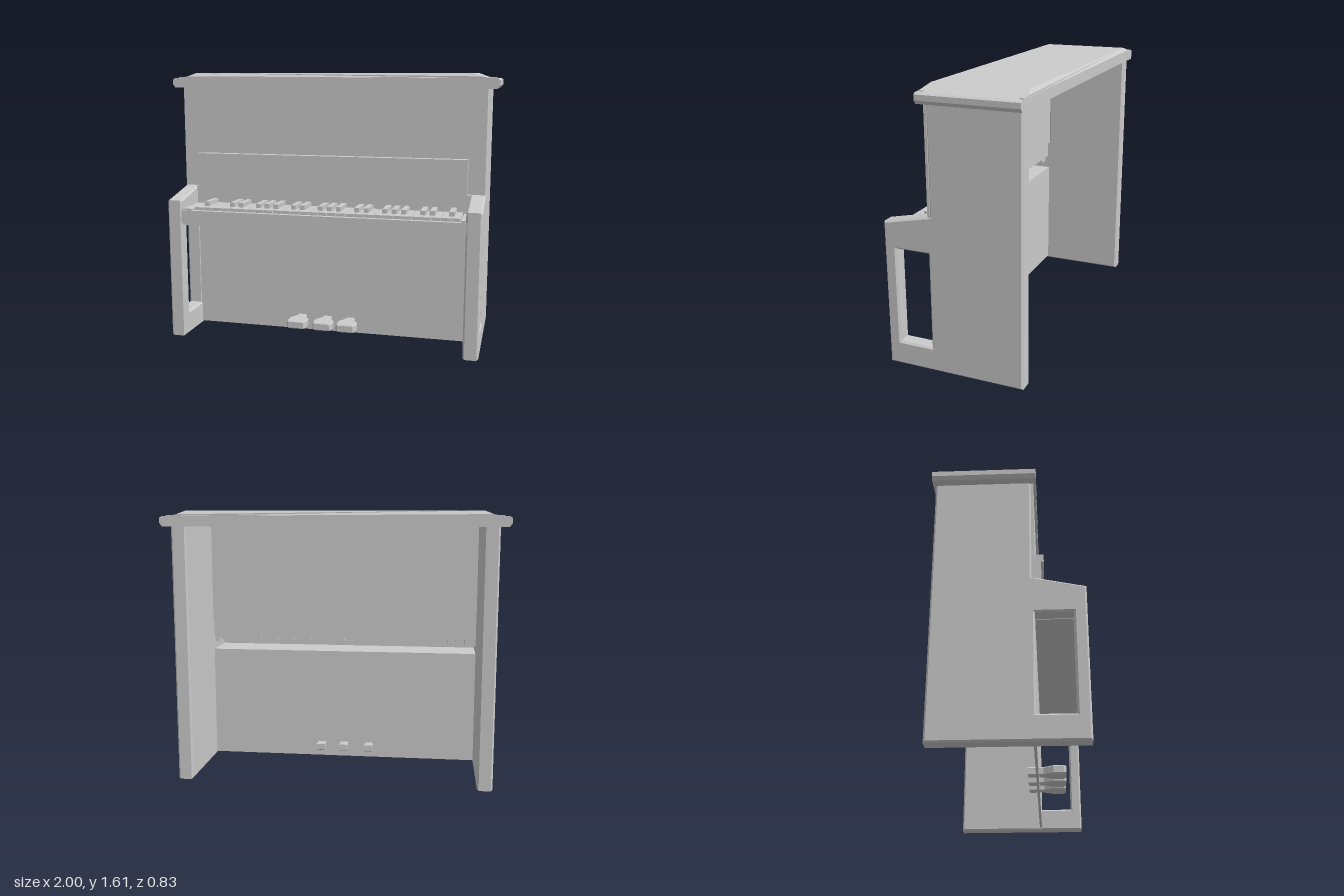
import * as THREE from 'three';

const material = new THREE.MeshStandardMaterial({ color: 0xcccccc, flatShading: true, side: THREE.DoubleSide });

function add(parent, name, geometry) {
  const mesh = new THREE.Mesh(geometry, material);
  mesh.name = name;
  parent.add(mesh);
  return mesh;
}

// Box given by its low and high limits on each axis
function box(parent, name, [x0, x1], [y0, y1], [z0, z1]) {
  const mesh = add(parent, name, new THREE.BoxGeometry(x1 - x0, y1 - y0, z1 - z0));
  mesh.position.set((x0 + x1) / 2, (y0 + y1) / 2, (z0 + z1) / 2);
  return mesh;
}

const outline = (points) => points.map(([x, y]) => new THREE.Vector2(x, y));

// Side wall with sloping arm, front leg and foot around an opening
function sideGeometry() {
  const shape = new THREE.Shape(outline([
    [-0.4, 0], [0.415, 0], [0.415, 0.85], [0.13, 0.912], [0.13, 1.53], [-0.4, 1.53],
  ]));
  shape.holes.push(new THREE.Path(outline([[0.145, 0.14], [0.145, 0.7], [0.345, 0.7], [0.345, 0.14]])));
  const geometry = new THREE.ExtrudeGeometry(shape, {
    depth: 0.07, bevelSize: 0.01, bevelThickness: 0.01, bevelOffset: -0.01, bevelSegments: 1,
  });
  return geometry.rotateY(-Math.PI / 2);
}

// Hollow lid: raised middle, lower rounded ends, chamfered long edges
function lidGeometry() {
  const half = [[0.85, 1.61], [0.9, 1.59], [0.945, 1.58], [0.985, 1.58], [1, 1.57],
    [1, 1.54], [0.985, 1.52], [0.93, 1.52], [0.85, 1.578]];
  const mirrored = half.map(([x, y]) => [-x, y]).reverse();
  const geometry = new THREE.ExtrudeGeometry(new THREE.Shape(outline([...half, ...mirrored])), {
    depth: 0.575, bevelEnabled: false,
  });
  geometry.translate(0, 0, -0.415);
  const p = geometry.attributes.position;
  for (let i = 0; i < p.count; i++) {
    if (p.getY(i) > 1.6) p.setZ(i, p.getZ(i) > 0 ? 0.142 : -0.398);
  }
  geometry.computeVertexNormals();
  return geometry;
}

// Pedal: narrow stem flaring to a broad rounded tip
function pedalGeometry() {
  const shape = new THREE.Shape(outline([
    [-0.028, 0.08], [0.028, 0.08], [0.028, 0.17], [0.06, 0.225], [0.06, 0.285],
    [0.048, 0.3], [-0.048, 0.3], [-0.06, 0.285], [-0.06, 0.225], [-0.028, 0.17],
  ]));
  const geometry = new THREE.ExtrudeGeometry(shape, {
    depth: 0.036, bevelSize: 0.006, bevelThickness: 0.006, bevelOffset: -0.006, bevelSegments: 1,
  });
  return geometry.rotateX(Math.PI / 2);
}

function buildKeyboard() {
  const keyboard = new THREE.Group();
  keyboard.name = 'keyboard';
  const start = -0.78, pitch = 0.0551, count = 29;
  for (let i = 0; i < count; i++) {
    const x = start + i * pitch;
    box(keyboard, 'whiteKey', [x + 0.002, x + pitch - 0.002], [0.775, 0.808], [0.17, 0.38]);
    if (i > 0 && i !== 2 && [0, 1, 2, 4, 5].includes(i % 7)) {
      box(keyboard, 'blackKey', [x - 0.015, x + 0.015], [0.8, 0.834], [0.17, 0.32]);
    }
  }
  return keyboard;
}

export function createModel() {
  const piano = new THREE.Group();
  piano.name = 'uprightPiano';

  // Side walls
  const side = sideGeometry();
  add(piano, 'leftSide', side).position.x = 0.93;
  add(piano, 'rightSide', side).position.x = -0.86;

  // Front panels; the back and bottom stay open
  box(piano, 'upperPanel', [-0.935, 0.935], [0.9, 1.54], [0.13, 0.145]);
  box(piano, 'lowerPanel', [-0.855, 0.855], [0.015, 0.705], [0.13, 0.145]);

  // Lid with its long edge rails
  add(piano, 'lid', lidGeometry());
  box(piano, 'lidFrontRail', [-0.96, 0.96], [1.52, 1.585], [0.13, 0.159]);
  box(piano, 'lidBackRail', [-0.96, 0.96], [1.52, 1.585], [-0.414, -0.39]);

  // Music desk, projecting ledge and rail behind the keys
  box(piano, 'musicDesk', [-0.835, 0.835], [0.855, 1.08], [0.14, 0.18]);
  box(piano, 'musicDeskLedge', [-0.835, 0.835], [1.07, 1.117], [0.14, 0.195]);
  box(piano, 'keyRail', [-0.855, 0.855], [0.8, 0.91], [0.14, 0.172]);

  // Open key tray: floor, front lip and end blocks
  box(piano, 'trayFloor', [-0.855, 0.855], [0.7, 0.715], [0.13, 0.4]);
  box(piano, 'trayLip', [-0.855, 0.855], [0.715, 0.79], [0.375, 0.41]);
  box(piano, 'trayRightEnd', [-0.855, -0.785], [0.76, 0.8], [0.16, 0.4]);
  box(piano, 'trayLeftEnd', [0.822, 0.855], [0.76, 0.8], [0.16, 0.4]);
  piano.add(buildKeyboard());

  // Pedals, with stems passing through the lower panel
  const pedal = pedalGeometry();
  for (const x of [-0.172, -0.01, 0.137]) add(piano, 'pedal', pedal).position.set(x, 0.104, 0);

  return piano;
}
